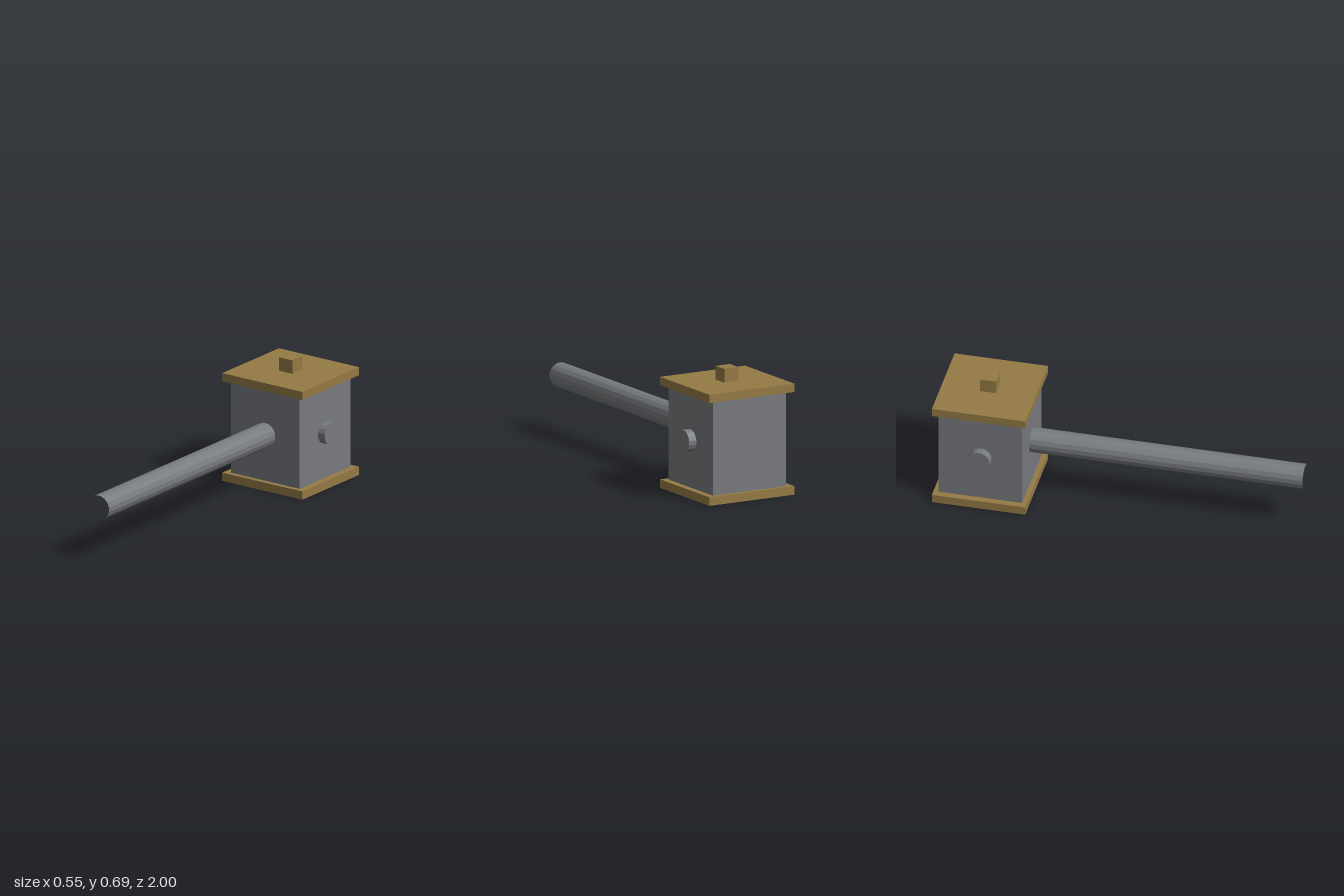
import * as THREE from 'three';

export function createModel() {
  const group = new THREE.Group();
  const steel = new THREE.MeshStandardMaterial({ color: 0x777a7f, flatShading: true });
  steel.name = 'grey steel';
  const brass = new THREE.MeshStandardMaterial({ color: 0x947a45, flatShading: true });
  brass.name = 'dull brass';

  const headZ = -0.742;
  const axisY = 0.307;
  const sides = 16;

  function add(name, geometry, material, x, y, z) {
    const mesh = new THREE.Mesh(geometry, material);
    mesh.name = name;
    mesh.position.set(x, y, z);
    group.add(mesh);
    return mesh;
  }

  // Upright cylinder with flats facing the main axes
  const rod = (radius, length, open) =>
    new THREE.CylinderGeometry(radius, radius, length, sides, 1, open, Math.PI / sides);

  // Box from its bottom height to its top height
  function block(name, material, width, depth, bottom, top) {
    add(name, new THREE.BoxGeometry(width, top - bottom, depth), material,
      0, (bottom + top) / 2, headZ);
  }

  // Hammer head: steel body between two overhanging plates, with a knob on top
  block('headBody', steel, 0.458, 0.462, 0.047, 0.566);
  block('bottomPlate', brass, 0.534, 0.516, 0, 0.047);
  block('topPlate', brass, 0.534, 0.516, 0.566, 0.612);
  block('topKnob', brass, 0.09, 0.09, 0.612, 0.688);

  // Round pegs on both sides
  for (const side of [1, -1]) {
    const peg = rod(0.062, 0.06, false).rotateZ(-side * Math.PI / 2);
    add(side > 0 ? 'leftPeg' : 'rightPeg', peg, steel, side * 0.244, axisY, headZ + 0.002);
  }

  // Long open-ended pipe handle, running from inside the head to the front
  const handleBack = -0.52;
  const handle = rod(0.068, 1 - handleBack, true).rotateX(Math.PI / 2);
  add('handle', handle, steel, 0, axisY + 0.001, (1 + handleBack) / 2);

  return group;
}
